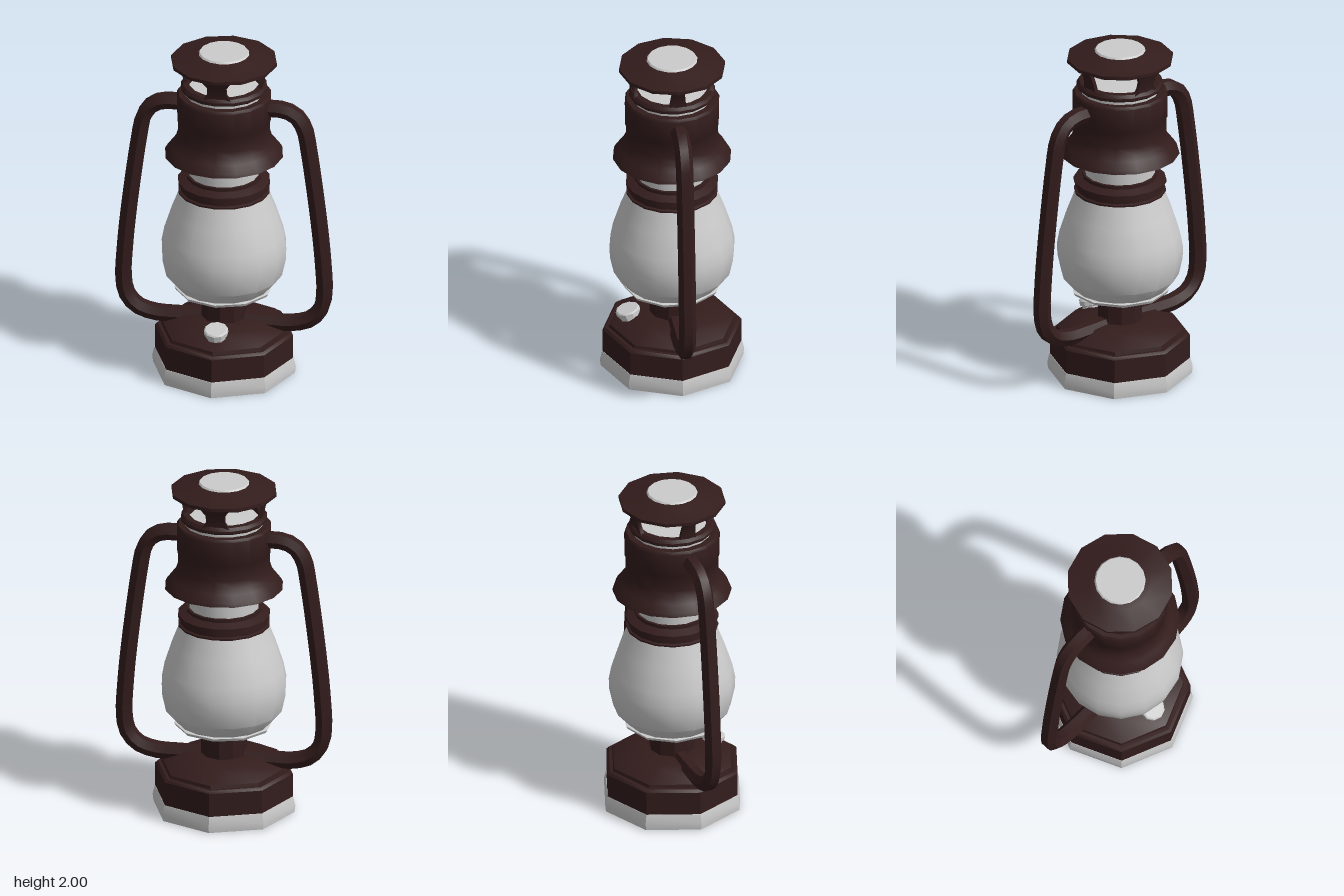
import * as THREE from 'three';
import { toCreasedNormals } from 'three/addons/utils/BufferGeometryUtils.js';

const grey = new THREE.MeshStandardMaterial({ color: 0xcccccc });
const dark = new THREE.MeshStandardMaterial({ color: 0x331c1c });

function addMesh(parent, name, geometry, material) {
  const mesh = new THREE.Mesh(toCreasedNormals(geometry, 0.6), material);
  mesh.name = name;
  parent.add(mesh);
  return mesh;
}

// Turned part: profile of [radius, y] running outward at the bottom, then up and back in
function turned(parent, name, profile, sides, material) {
  const points = profile.map(([r, y]) => new THREE.Vector2(r, y));
  return addMesh(parent, name, new THREE.LatheGeometry(points, sides), material);
}

// Vent post: a box with width and radial distance following its height
function ventPost(halfWidths) {
  const steps = halfWidths.length - 1;
  const geometry = new THREE.BoxGeometry(2, 1, 0.022, 1, steps, 1);
  const p = geometry.attributes.position;
  for (let i = 0; i < p.count; i++) {
    const t = p.getY(i) + 0.5;
    const w = halfWidths[Math.round(t * steps)];
    p.setXYZ(i, p.getX(i) * w, 1.79 + t * 0.135, p.getZ(i) + 0.215 + 0.035 * t * t);
  }
  return geometry;
}

export function createModel() {
  const lantern = new THREE.Group();
  lantern.name = 'lantern';

  // Octagonal fuel tank on a pale foot
  turned(lantern, 'foot', [[0, 0], [0.41, 0], [0.415, 0.04], [0.402, 0.095], [0, 0.095]], 8, grey);
  turned(lantern, 'fuelTank', [
    [0, 0.09], [0.4, 0.09], [0.4, 0.235], [0.385, 0.25], [0.365, 0.25],
    [0.36, 0.268], [0.24, 0.33], [0.12, 0.337], [0, 0.337],
  ], 8, dark);

  // Tilted filler cap on the front of the tank
  const filler = new THREE.Group();
  filler.name = 'fillerCap';
  filler.position.set(0, 0.295, 0.24);
  filler.rotation.x = 0.25;
  lantern.add(filler);
  turned(filler, 'fillerCapKnob', [
    [0, 0], [0.058, 0], [0.058, 0.035], [0.07, 0.042], [0.07, 0.066], [0.062, 0.073], [0, 0.073],
  ], 10, grey);

  // Burner stem, dish and glass globe
  turned(lantern, 'burnerStem', [[0, 0.3], [0.13, 0.3], [0.13, 0.49], [0, 0.49]], 10, dark);
  turned(lantern, 'globeDish', [
    [0, 0.48], [0.15, 0.48], [0.275, 0.508], [0.285, 0.526], [0.265, 0.53], [0, 0.52],
  ], 10, grey);
  turned(lantern, 'glassGlobe', [
    [0, 0.525], [0.265, 0.53], [0.335, 0.61], [0.357, 0.71], [0.36, 0.78],
    [0.345, 0.86], [0.3, 1.0], [0.265, 1.09], [0.25, 1.14],
  ], 16, grey);
  turned(lantern, 'glassNeck', [[0.2, 1.15], [0.2, 1.4]], 16, grey);

  // Grooved collar around the glass
  turned(lantern, 'collar', [
    [0, 1.125], [0.263, 1.125], [0.263, 1.135], [0.25, 1.14], [0.25, 1.175],
    [0.265, 1.18], [0.265, 1.195], [0.215, 1.215], [0.215, 1.235], [0, 1.235],
  ], 16, dark);

  // Flared hood with a stepped upper band
  turned(lantern, 'hood', [
    [0, 1.385], [0.31, 1.375], [0.32, 1.357], [0.34, 1.36], [0.33, 1.38], [0.3, 1.42],
    [0.277, 1.45], [0.265, 1.49], [0.265, 1.575], [0.27, 1.585], [0.272, 1.73],
    [0.262, 1.745], [0, 1.745],
  ], 16, dark);

  // Chimney top and vent
  turned(lantern, 'chimneyTop', [[0, 1.74], [0.225, 1.74], [0.225, 1.775], [0, 1.785]], 16, grey);
  turned(lantern, 'ventRing', [
    [0.2, 1.767], [0.24, 1.767], [0.248, 1.775], [0.248, 1.79], [0.235, 1.808], [0.2, 1.808], [0.2, 1.767],
  ], 16, dark);
  for (let i = 0; i < 4; i++) {
    const widths = i % 2 ? [0.05, 0.044, 0.039, 0.035] : [0.085, 0.055, 0.055, 0.085];
    addMesh(lantern, 'ventPost', ventPost(widths), dark).rotation.y = i * Math.PI / 2;
  }

  // Hollow roof with a pale disc through its middle
  turned(lantern, 'roof', [
    [0, 1.955], [0.14, 1.955], [0.23, 1.935], [0.25, 1.912], [0.27, 1.915], [0.305, 1.932],
    [0.305, 1.952], [0.18, 1.98], [0.15, 1.99], [0, 1.99],
  ], 12, dark);
  turned(lantern, 'roofDisc', [[0, 1.945], [0.143, 1.945], [0.146, 1.99], [0.138, 2], [0, 2]], 16, grey);

  // Six-sided frame tubes joining the tank and the hood on both sides
  for (const side of [1, -1]) {
    const path = new THREE.CatmullRomCurve3([
      [0.22, 1.662], [0.35, 1.66], [0.42, 1.625], [0.465, 1.55], [0.49, 1.42], [0.545, 1.0], [0.572, 0.72],
      [0.58, 0.52], [0.56, 0.42], [0.5, 0.35], [0.4, 0.318], [0.26, 0.315], [0.12, 0.318],
    ].map(([x, y]) => new THREE.Vector3(side * x, y, 0)));
    addMesh(lantern, side > 0 ? 'leftFrameTube' : 'rightFrameTube',
      new THREE.TubeGeometry(path, 36, 0.05, 6, false), dark);
  }

  return lantern;
}
